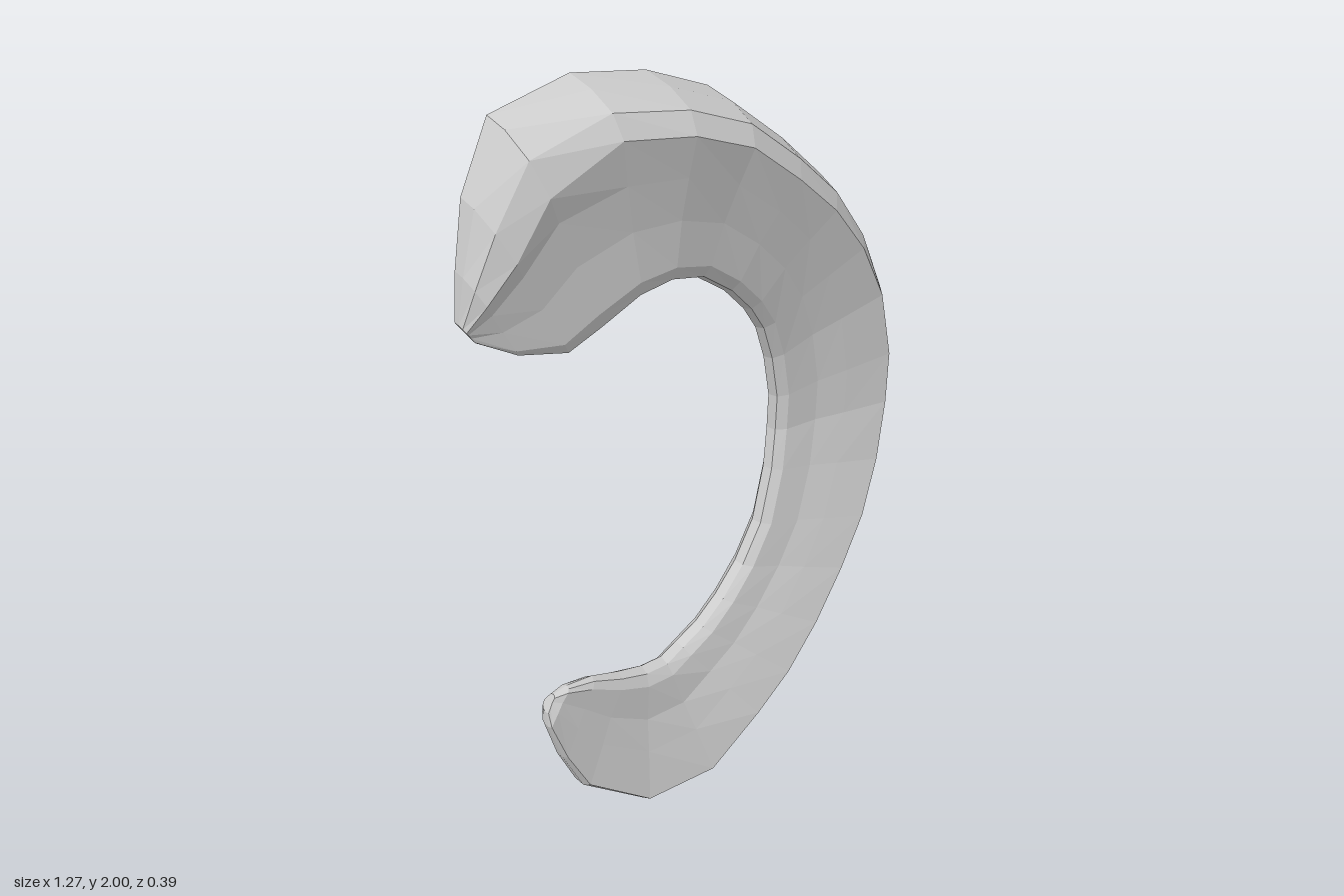
import * as THREE from 'three';

// Stations along the crescent: outer x, y, inner x, y, front z, back z
const STATIONS = [
  [-0.637, 1.5, -0.6, 1.45, 0.13, 0.075],
  [-0.625, 1.62, -0.5, 1.4, 0.165, 0.055],
  [-0.59, 1.78, -0.37, 1.375, 0.185, 0.02],
  [-0.5, 1.945, -0.28, 1.42, 0.195, -0.03],
  [-0.27, 2, -0.18, 1.48, 0.195, -0.085],
  [-0.05, 1.97, -0.09, 1.5, 0.185, -0.13],
  [0.14, 1.9, 0.01, 1.48, 0.16, -0.165],
  [0.3, 1.78, 0.1, 1.42, 0.14, -0.185],
  [0.43, 1.66, 0.17, 1.35, 0.12, -0.195],
  [0.53, 1.51, 0.22, 1.28, 0.1, -0.19],
  [0.6, 1.34, 0.26, 1.18, 0.08, -0.175],
  [0.637, 1.15, 0.285, 1.06, 0.07, -0.15],
  [0.637, 1, 0.285, 0.96, 0.065, -0.14],
  [0.61, 0.83, 0.27, 0.85, 0.075, -0.125],
  [0.56, 0.67, 0.23, 0.7, 0.09, -0.115],
  [0.49, 0.52, 0.17, 0.59, 0.1, -0.11],
  [0.4, 0.37, 0.1, 0.51, 0.115, -0.1],
  [0.3, 0.24, 0.03, 0.45, 0.13, -0.095],
  [0.19, 0.14, -0.04, 0.415, 0.145, -0.085],
  [0.02, 0.015, -0.1, 0.4, 0.17, -0.06],
  [-0.2, 0, -0.17, 0.405, 0.185, -0.025],
  [-0.39, 0.13, -0.25, 0.425, 0.19, 0.03],
  [-0.45, 0.25, -0.34, 0.455, 0.19, 0.075],
  [-0.49, 0.37, -0.42, 0.463, 0.19, 0.11],
  [-0.488, 0.41, -0.46, 0.45, 0.175, 0.13],
];

// Wedge section: the rim leans back in the upper horn, and the back
// swells into a rounded belly in the lower horn
function section([ox, oy, ix, iy, zf, zb]) {
  const { lerp, smoothstep } = THREE.MathUtils;
  const lean = smoothstep(oy, 1.2, 1.8);
  const tip = smoothstep(oy, 1.2, 1.4) * (1 - smoothstep(ox, -0.6, -0.3));
  const belly = 1 - smoothstep(oy, 0.1, 0.9);
  const h = zf - zb;
  const lipFront = zf - Math.min(lerp(0.045, 0.06, belly), h * 0.22);
  const lipBack = lipFront - Math.min(0.085, h * 0.5);
  const thick = lipFront - lipBack;
  const back = (upper, lower) => lerp(zb, lipBack, lerp(upper, lower, belly));
  const profile = [
    [lerp(0.075, 0.2, lean) + 0.12 * tip, zf],
    [lerp(0.02, 0.09, lean) + 0.05 * tip, zf - lerp(0.18, 0.12, lean) * h],
    [lerp(0, 0.025, lean), zf - 0.45 * h],
    [lerp(0.015, 0.03, belly) * (1 - lean), zb + lerp(0.17, 0.45, belly) * h],
    [lerp(0.12, 0.15, belly), zb + 0.2 * h * belly],
    [0.38, back(0.2, 0)],
    [0.66, back(0.6, 0.35)],
    [0.92, lipBack],
    [1, lipBack + 0.45 * thick],
    [0.975, lipFront - 0.2 * thick],
    [0.9, lipFront],
    [0.65, lerp(zf, lipFront, 0.9)],
    [0.42, lerp(zf, lipFront, 0.5)],
  ];
  return profile.map(([u, z]) => [lerp(ox, ix, u), lerp(oy, iy, u), z]);
}

function crescentGeometry() {
  const rings = STATIONS.map(section);
  const n = rings[0].length;
  const last = rings.length - 1;
  const points = rings.flat();
  const index = [];

  // Skin between neighbouring sections
  for (let i = 0; i < last; i++) {
    for (let j = 0; j < n; j++) {
      const a = i * n + j, b = i * n + (j + 1) % n;
      index.push(a, a + n, b, b, a + n, b + n);
    }
  }

  // Fan caps closing both horn tips
  for (const i of [0, last]) {
    const centre = [0, 1, 2].map(k => rings[i].reduce((s, p) => s + p[k], 0) / n);
    const c = points.push(centre) - 1;
    for (let j = 0; j < n; j++) {
      const a = i * n + j, b = i * n + (j + 1) % n;
      if (i === 0) index.push(c, a, b);
      else index.push(c, b, a);
    }
  }

  const geometry = new THREE.BufferGeometry();
  geometry.setAttribute('position', new THREE.Float32BufferAttribute(points.flat(), 3));
  geometry.setIndex(index);
  const faceted = geometry.toNonIndexed();
  faceted.computeVertexNormals();
  return faceted;
}

export function createModel() {
  const grey = new THREE.MeshStandardMaterial({ color: 0xcccccc, flatShading: true });
  grey.name = 'light grey';
  const crescent = new THREE.Mesh(crescentGeometry(), grey);
  crescent.name = 'crescentWedge';
  const group = new THREE.Group();
  group.name = 'crescent';
  group.add(crescent);
  return group;
}
